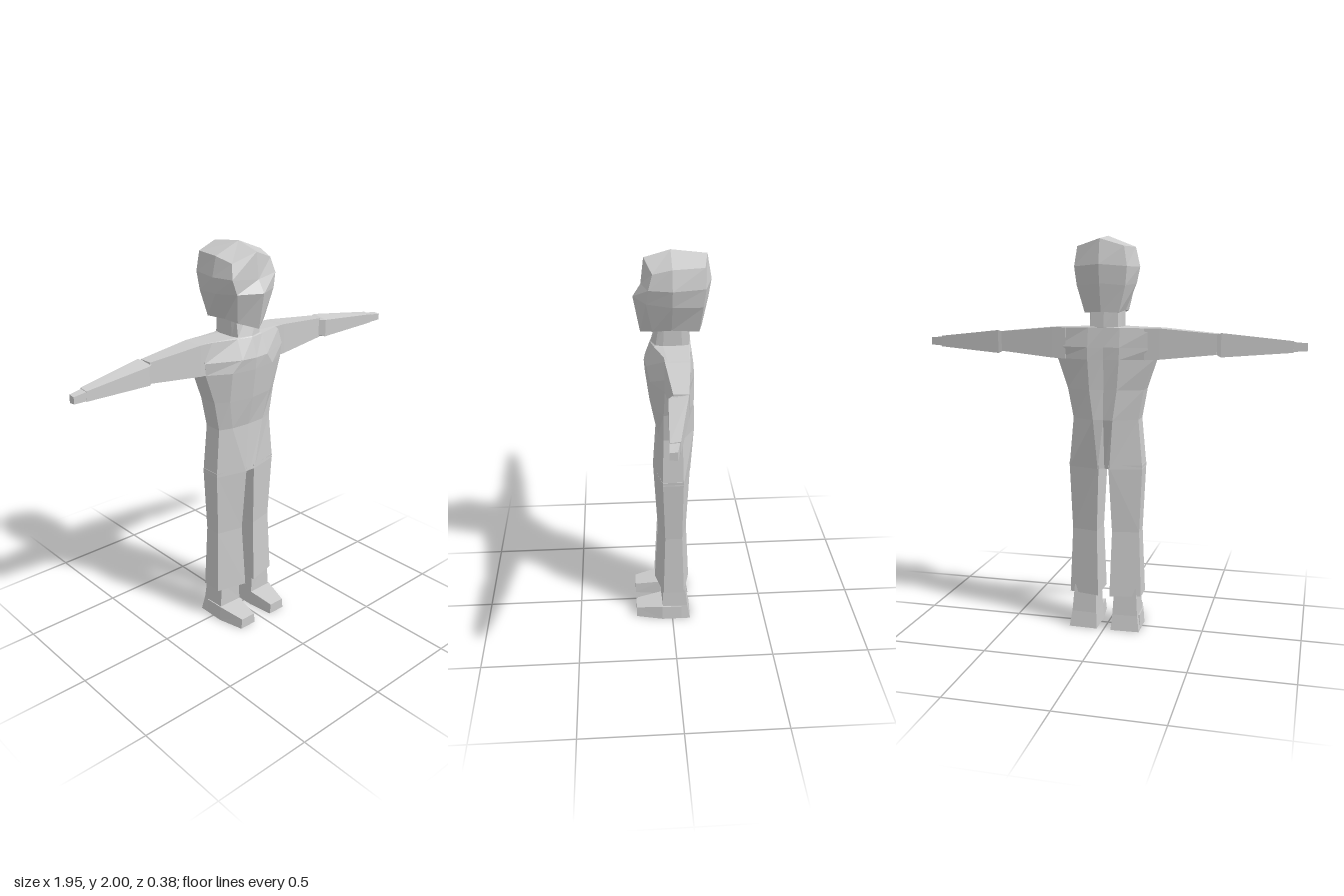
import * as THREE from 'three';

const material = new THREE.MeshStandardMaterial({ color: 0xcccccc, flatShading: true });

// Skin closed rings of [x, y, z] points and fan-cap both ends; apexes may be given
function loft(name, rings, startApex, endApex) {
  const n = rings[0].length;
  const tris = [];
  const centre = (ring) => [0, 1, 2].map((k) => ring.reduce((sum, p) => sum + p[k], 0) / n);
  const first = rings[0], last = rings[rings.length - 1];
  const a = startApex || centre(first), b = endApex || centre(last);
  for (let j = 0; j < n; j++) {
    const k = (j + 1) % n;
    for (let i = 0; i < rings.length - 1; i++) {
      const r = rings[i], q = rings[i + 1];
      tris.push([r[j], r[k], q[k]], [r[j], q[k], q[j]]);
    }
    tris.push([a, first[k], first[j]], [b, last[j], last[k]]);
  }
  // turn the faces outward, whichever way the rings run
  const v = (p) => new THREE.Vector3(...p);
  const o = v(centre(first));
  let volume = 0;
  for (const [p, q, r] of tris) volume += v(p).sub(o).dot(v(q).sub(o).cross(v(r).sub(o)));
  if (volume < 0) tris.forEach((t) => t.reverse());
  const geometry = new THREE.BufferGeometry();
  geometry.setAttribute('position', new THREE.Float32BufferAttribute(tris.flat(2), 3));
  geometry.computeVertexNormals();
  const mesh = new THREE.Mesh(geometry, material);
  mesh.name = name;
  return mesh;
}

// Half ring from front centre to back centre, completed by its mirror image
const symmetric = (half) => [
  ...half,
  ...half.slice(1, -1).reverse().map(([x, y, z]) => [-x, y, z]),
];
const level = (y, half) => symmetric(half.map(([x, z]) => [x, y, z]));

function makeTorso() {
  return loft('torso', [
    level(0.85, [[0, 0.088], [0.03, 0.09], [0.19, 0.05], [0.19, -0.055], [0.03, -0.1], [0, -0.08]]),
    level(1.1, [[0, 0.075], [0.1, 0.068], [0.168, 0.045], [0.168, -0.05], [0.05, -0.115], [0, -0.105]]),
    level(1.25, [[0, 0.105], [0.13, 0.085], [0.195, 0.045], [0.195, -0.055], [0.07, -0.11], [0, -0.1]]),
    level(1.4, [[0, 0.125], [0.13, 0.105], [0.245, 0.042], [0.245, -0.06], [0.08, -0.108], [0, -0.1]]),
    level(1.46, [[0, 0.13], [0.08, 0.12], [0.25, 0.044], [0.25, -0.072], [0.08, -0.106], [0, -0.1]]),
    level(1.555, [[0, 0.1], [0.08, 0.082], [0.25, 0.03], [0.25, -0.072], [0.08, -0.09], [0, -0.095]]),
    // neck
    level(1.56, [[0, 0.097], [0.07, 0.075], [0.08, 0.04], [0.08, -0.05], [0.07, -0.085], [0, -0.095]]),
    level(1.66, [[0, 0.065], [0.07, 0.06], [0.08, 0.035], [0.08, -0.045], [0.07, -0.08], [0, -0.085]]),
  ]);
}

function makeHead() {
  return loft('head', [
    symmetric([[0, 1.605, 0.145], [0.085, 1.635, 0.09], [0.09, 1.64, 0], [0.085, 1.63, -0.13], [0, 1.635, -0.15]]),
    symmetric([[0, 1.78, 0.178], [0.115, 1.78, 0.12], [0.145, 1.77, 0], [0.12, 1.76, -0.145], [0, 1.77, -0.178]]),
    symmetric([[0, 1.84, 0.14], [0.135, 1.85, 0.11], [0.162, 1.85, 0], [0.13, 1.85, -0.155], [0, 1.86, -0.192]]),
    symmetric([[0, 1.965, 0.125], [0.12, 1.92, 0.09], [0.14, 1.945, 0], [0.115, 1.945, -0.15], [0, 1.98, -0.17]]),
  ], [0, 1.635, -0.03], [0, 2, 0]);
}

// Four-sided arm section, slightly narrower on its front edge
const armRing = (s, [x, top, bottom, front, back, inset]) => [
  [s * x, top, back], [s * x, top - inset, front],
  [s * x, bottom + inset, front], [s * x, bottom, back],
];

function makeArm(s) {
  const arm = new THREE.Group();
  arm.name = s > 0 ? 'leftArm' : 'rightArm';
  const part = (name, sections) => arm.add(loft(name, sections.map((c) => armRing(s, c))));
  part('upperArm', [
    [0.2, 1.555, 1.4, 0.044, -0.08, 0],
    [0.27, 1.555, 1.403, 0.042, -0.074, 0],
    [0.55, 1.53, 1.43, 0.024, -0.045, 0],
  ]);
  part('forearm', [
    [0.54, 1.525, 1.435, 0.024, -0.042, 0.005],
    [0.57, 1.535, 1.418, 0.046, -0.042, 0.014],
    [0.91, 1.498, 1.442, 0.063, 0.018, 0.005],
  ]);
  part('hand', [
    [0.905, 1.494, 1.446, 0.062, 0.02, 0.003],
    [0.975, 1.488, 1.45, 0.068, 0.034, 0.003],
  ]);
  return arm;
}

// Leg section whose front and back slope from the inner to the outer edge
const legRing = (s, [y, outer, inner, front, back, outerFront, outerBack]) => [
  [s * outer, y, outerFront], [s * inner, y, front],
  [s * inner, y, back], [s * outer, y, outerBack],
];

function makeLeg(s) {
  const leg = new THREE.Group();
  leg.name = s > 0 ? 'leftLeg' : 'rightLeg';
  leg.add(loft('trouserLeg', [
    [0.87, 0.19, 0.025, 0.09, -0.1, 0.05, -0.055],
    [0.52, 0.175, 0.04, 0.07, -0.08, 0.038, -0.05],
    [0.18, 0.188, 0.03, 0.088, -0.096, 0.048, -0.06],
  ].map((c) => legRing(s, c))));
  // ankle widening into the heel
  leg.add(loft('ankle', [
    [0.22, 0.163, 0.05, 0.055, -0.07, 0.05, -0.065],
    [0.08, 0.173, 0.043, 0.055, -0.085, 0.052, -0.08],
    [0, 0.185, 0.037, 0.055, -0.1, 0.055, -0.095],
  ].map((c) => legRing(s, c))));
  // front of the shoe, tapering to the toe
  const shoeRing = ([z, inner, outer, top]) => [
    [s * inner, 0, z], [s * outer, 0, z], [s * (outer - 0.006), top, z], [s * (inner + 0.006), top, z],
  ];
  leg.add(loft('shoe', [
    [-0.05, 0.037, 0.185, 0.075], [0.055, 0.037, 0.185, 0.078], [0.193, 0.056, 0.152, 0.055],
  ].map(shoeRing)));
  return leg;
}

export function createModel() {
  const figure = new THREE.Group();
  figure.name = 'figure';
  figure.add(makeTorso(), makeHead());
  for (const s of [1, -1]) figure.add(makeArm(s), makeLeg(s));
  return figure;
}
